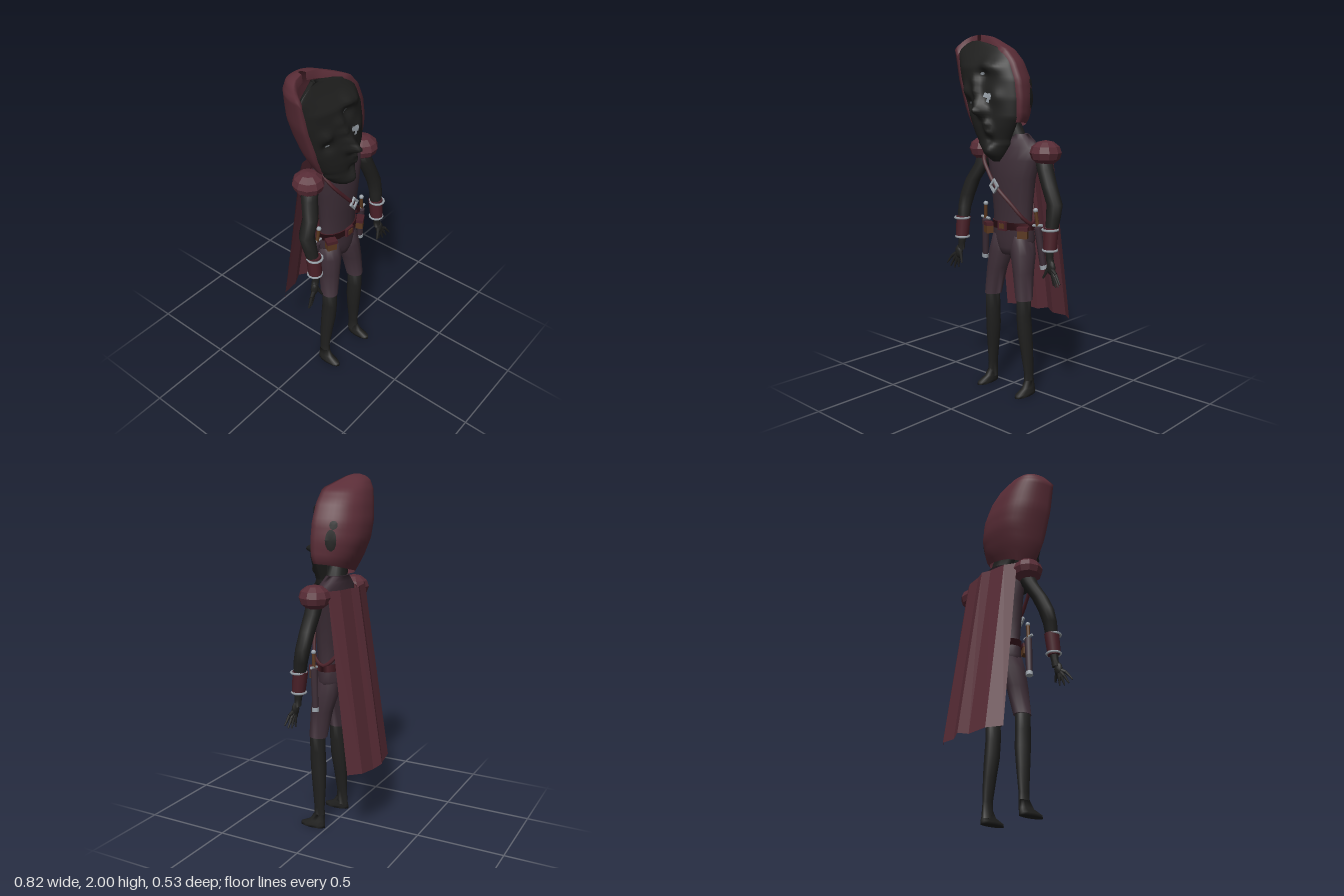
import * as THREE from 'three';

const mat = (name, color, flat = false) =>
  new THREE.MeshStandardMaterial({ name, color, side: THREE.DoubleSide, flatShading: flat });

// Piecewise-linear lookup in rows [key, v1, v2, ...] with ascending keys
function look(rows, k, c = 1) {
  if (k <= rows[0][0]) return rows[0][c];
  for (let i = 1; i < rows.length; i++) {
    const a = rows[i - 1], b = rows[i];
    if (k <= b[0]) return a[c] + (b[c] - a[c]) * (k - a[0]) / (b[0] - a[0]);
  }
  return rows[rows.length - 1][c];
}

// Skin over rows of points; wrap closes each row, cap closes both ends
function loft(rings, wrap = true, cap = true) {
  const n = rings[0].length, pos = rings.flat(2), idx = [];
  for (let i = 0; i < rings.length - 1; i++)
    for (let j = 0; j < (wrap ? n : n - 1); j++) {
      const a = i * n + j, b = i * n + (j + 1) % n;
      idx.push(a, a + n, b, b, a + n, b + n);
    }
  if (cap) for (const s of [0, (rings.length - 1) * n])
    for (let j = 1; j < n - 1; j++) idx.push(s, s + j, s + j + 1);
  const g = new THREE.BufferGeometry();
  g.setAttribute('position', new THREE.Float32BufferAttribute(pos, 3));
  g.setIndex(idx);
  g.computeVertexNormals();
  return g;
}

// Upright limb from level ellipses [y, centreX, centreZ, radiusX, radiusZ]
const limb = (rows, n = 12) => loft(rows.map(([y, cx, cz, rx, rz]) =>
  Array.from({ length: n }, (_, j) => {
    const a = j / n * Math.PI * 2;
    return [cx + rx * Math.cos(a), y, cz + rz * Math.sin(a)];
  })));

// Head outline: y, right edge, left edge, back depth
const OUT = [[1.31, -0.05, 0.0, 0.09], [1.34, -0.1, 0.02, 0.08], [1.38, -0.14, 0.04, 0.06], [1.45, -0.2, 0.08, -0.03],
  [1.55, -0.255, 0.14, -0.085], [1.65, -0.29, 0.145, -0.12], [1.75, -0.325, 0.13, -0.125], [1.85, -0.345, 0.085, -0.11],
  [1.92, -0.36, 0.02, -0.09], [1.97, -0.33, -0.1, -0.06], [1.99, -0.3, -0.15, -0.03], [2.0, -0.25, -0.22, 0]];
const RIM = [[1.44, 0.09], [1.6, 0.105], [1.93, 0.1], [2.0, 0.03]];
const FRONT = [[1.31, 0.13], [1.35, 0.165], [1.42, 0.165], [1.5, 0.175], [1.6, 0.175], [1.72, 0.17], [1.82, 0.165], [1.9, 0.12], [1.96, 0.09]];
// Face relief: x, y, height, radius
const RELIEF = [[-0.07, 1.585, 0.085, 0.03], [-0.09, 1.635, 0.045, 0.028], [-0.115, 1.69, 0.03, 0.028], [-0.135, 1.745, 0.02, 0.03],
  [-0.06, 1.83, 0.022, 0.035], [0.0, 1.815, 0.018, 0.035], [-0.22, 1.69, 0.022, 0.035], [-0.075, 1.775, -0.025, 0.035],
  [-0.2, 1.62, -0.022, 0.03], [-0.035, 1.515, 0.026, 0.025], [-0.02, 1.475, 0.024, 0.025], [-0.025, 1.495, -0.02, 0.012],
  [-0.025, 1.375, 0.024, 0.035], [0.02, 1.66, 0.012, 0.04], [-0.03, 1.43, -0.015, 0.025]];

function faceSpan(y) {
  const l = look(OUT, y, 1), r = look(OUT, y, 2), k = y < 1.42 ? 1 : 0.91;
  const top = y > 1.88 ? Math.sqrt(Math.max(0, 1 - ((y - 1.88) / 0.085) ** 2)) : 1;
  return [(l + r) / 2, (r - l) / 2 * k * top];
}
function faceZ(x, y) {
  const [c, w] = faceSpan(y), u = Math.min(1, Math.abs(x - c) / Math.max(w, 1e-4));
  const bulge = Math.pow(1 - u * u, 0.6);
  let z = 0.09 + (look(FRONT, y) - 0.09) * bulge;
  for (const [px, py, h, r] of RELIEF)
    z += h * Math.min(1, bulge * 1.5) * Math.exp(-((x - px) ** 2 + (y - py) ** 2) / (r * r));
  return z;
}
function hoodX(y, z) {
  const l = look(OUT, y, 1), r = look(OUT, y, 2), f = look(RIM, y), b = look(OUT, y, 3);
  const s = Math.min(1, Math.max(0, (f - z) / (f - b)));
  return (l + r) / 2 + (r - l) / 2 * Math.pow(1 - s * s, 0.4);
}

export function createModel() {
  const root = new THREE.Group();
  root.name = 'cloakedFigure';
  const body = new THREE.Group();
  body.name = 'body';
  body.position.x = 0.02;
  root.add(body);

  const skin = mat('shadow skin', 0x20201f), maroon = mat('maroon cloth', 0x5a2d37),
    maroonFlat = mat('maroon facets', 0x582c36, true), plum = mat('plum tunic', 0x3c2d36),
    leather = mat('dark red leather', 0x4a2028), silver = mat('silver', 0x9aa2aa), brown = mat('brown leather', 0x5a3820);

  const add = (name, geo, m, p = [0, 0, 0], parent = body) => {
    const o = new THREE.Mesh(geo, m);
    o.name = name;
    o.position.set(...p);
    parent.add(o);
    return o;
  };
  // Tapered bar between two points
  const rod = (name, a, b, ra, rb, m, n = 8) => {
    const A = new THREE.Vector3(...a), B = new THREE.Vector3(...b), d = B.clone().sub(A);
    const o = add(name, new THREE.CylinderGeometry(rb, ra, d.length(), n), m);
    o.position.copy(A).add(B).multiplyScalar(0.5);
    o.quaternion.setFromUnitVectors(new THREE.Vector3(0, 1, 0), d.normalize());
    return o;
  };

  // Face: sculpted front closed by a shallow back
  const faceRows = [];
  for (let i = 0; i <= 46; i++) {
    const y = 1.31 + 0.654 * i / 46, [c, w] = faceSpan(y), row = [];
    for (let j = 0; j <= 32; j++) {
      const x = c - w * Math.cos(j / 32 * Math.PI);
      row.push([x, y, faceZ(x, y)]);
    }
    for (let j = 1; j < 8; j++) {
      const a = j / 8 * Math.PI;
      row.push([c + w * Math.cos(a), y, 0.09 - 0.04 * Math.sin(a)]);
    }
    faceRows.push(row);
  }
  add('face', loft(faceRows), skin, [0, 0, 0], root);

  // Hood: rounded shell with a turned-in rim
  const hoodRows = [];
  for (let i = 0; i <= 26; i++) {
    const t = Math.sin(i / 26 * Math.PI / 2), row = [];
    for (let j = -1; j <= 25; j++) {
      const a = Math.min(24, Math.max(0, j)) / 24 * Math.PI, inner = j < 0 || j > 24;
      const low = 1.48 + 0.045 * Math.cos(a), y = low + (2 - low) * t;
      const l = look(OUT, y, 1), r = look(OUT, y, 2), f = look(RIM, y), b = look(OUT, y, 3), k = Math.cos(a);
      const w = (r - l) / 2 * (inner ? 0.88 : 1);
      row.push([(l + r) / 2 + w * Math.sign(k) * Math.pow(Math.abs(k), 0.8),
        y - (inner ? 0.04 * t : 0), f - (f - b) * Math.sin(a) + (inner ? 0.003 : 0)]);
    }
    hoodRows.push(row);
  }
  add('hood', loft(hoodRows, false, false), maroon, [0, 0, 0], root);

  // Thin details laid on the face and hood
  const onFace = (name, geo, x, y, turn) => {
    geo.rotateZ(turn).translate(x, y, 0);
    const p = geo.attributes.position;
    for (let i = 0; i < p.count; i++) p.setZ(i, faceZ(p.getX(i), p.getY(i)) + 0.005);
    geo.computeVertexNormals();
    add(name, geo, silver, [0, 0, 0], root);
  };
  onFace('leftEye', new THREE.CircleGeometry(0.014, 10).scale(1, 0.55, 1), -0.085, 1.785, 0.3);
  onFace('rightEye', new THREE.CircleGeometry(0.012, 10).scale(1, 0.5, 1), -0.197, 1.627, 0.3);
  onFace('cheekMark', new THREE.PlaneGeometry(0.055, 0.025, 6, 3), -0.028, 1.665, -0.3);
  onFace('cheekMarkBar', new THREE.PlaneGeometry(0.02, 0.05, 3, 6), -0.02, 1.655, -0.3);
  for (const [y0, z0, rz, ry] of [[1.655, -0.008, 0.028, 0.058], [1.735, -0.018, 0.02, 0.024]]) {
    const g = new THREE.CircleGeometry(1, 14), p = g.attributes.position;
    for (let i = 0; i < p.count; i++) {
      const z = z0 + p.getX(i) * rz, y = y0 + p.getY(i) * ry;
      p.setXYZ(i, hoodX(y, z) + 0.006, y, z);
    }
    g.computeVertexNormals();
    add('hoodSideOpening', g, skin, [0, 0, 0], root);
  }

  // Neck and tunic
  add('neck', limb([[1.4, 0, 0.01, 0.1, 0.055], [1.46, -0.01, 0.015, 0.075, 0.055], [1.6, -0.07, 0.03, 0.075, 0.055]]), skin);
  add('tunic', limb([[0.79, 0, 0.035, 0.05, 0.06], [0.83, 0, 0.025, 0.13, 0.078], [0.88, 0, 0.02, 0.142, 0.086], [0.94, 0, 0.025, 0.137, 0.08],
    [1.0, 0, 0.03, 0.128, 0.075], [1.1, 0, 0.03, 0.138, 0.08], [1.22, 0, 0.03, 0.152, 0.088], [1.32, 0, 0.025, 0.18, 0.085],
    [1.39, 0, 0.02, 0.19, 0.07], [1.43, 0, 0.01, 0.13, 0.062], [1.46, 0, 0.005, 0.085, 0.055]], 18), plum);
  add('belt', limb([[0.935, 0, 0.025, 0.144, 0.087], [0.975, 0, 0.027, 0.14, 0.084]], 18), leather);
  add('beltBuckle', new THREE.BoxGeometry(0.06, 0.052, 0.015), leather, [0, 0.955, 0.114]);
  add('beltBuckleInset', new THREE.BoxGeometry(0.034, 0.028, 0.008), brown, [0, 0.955, 0.122]);

  // Sash across the chest with a diamond clasp
  const sash = new THREE.CatmullRomCurve3([[-0.155, 1.39, 0.04], [-0.14, 1.33, 0.115], [-0.08, 1.25, 0.14], [-0.02, 1.18, 0.148],
    [0.07, 1.08, 0.118], [0.125, 1.0, 0.075], [0.135, 0.97, 0.02], [0.08, 1.05, -0.05], [-0.06, 1.25, -0.068], [-0.14, 1.38, -0.03]]
    .map(p => new THREE.Vector3(...p)), true);
  add('sash', new THREE.TubeGeometry(sash, 50, 0.011, 5, true), leather);
  const clasp = new THREE.Shape([[0, -0.042], [0.034, 0], [0, 0.042], [-0.034, 0]].map(p => new THREE.Vector2(...p)));
  clasp.holes.push(new THREE.Path([[0, -0.024], [-0.019, 0], [0, 0.024], [0.019, 0]].map(p => new THREE.Vector2(...p))));
  add('clasp', new THREE.ExtrudeGeometry(clasp, { depth: 0.012, bevelEnabled: false }), silver, [-0.02, 1.18, 0.153]);

  // Cape: folded panels sloping away from the back
  const half = [[0, -0.125, -0.28, 0.4], [0.06, -0.105, -0.255, 0.385], [0.17, -0.09, -0.24, 0.395], [0.242, -0.05, -0.183, 0.4]];
  const folds = [...half.slice(1).reverse().map(([x, ...r]) => [-x, ...r]), ...half];
  add('cape', loft([folds.map(([x, z]) => [x * 0.89, 1.4, z]), folds.map(([x, , z, y]) => [x, y, z])], false, false), maroonFlat);

  for (const s of [1, -1]) {
    const side = s > 0 ? 'left' : 'right', S = p => [p[0] * s, p[1], p[2]];
    const sided = rows => limb(rows.map(([y, cx, ...r]) => [y, cx * s, ...r]));
    // Legs
    add(side + 'Shorts', sided([[0.9, 0.07, 0.025, 0.06, 0.07], [0.8, 0.083, 0.035, 0.07, 0.076], [0.7, 0.1, 0.052, 0.057, 0.065],
      [0.545, 0.119, 0.067, 0.046, 0.053]]), plum);
    add(side + 'Leg', sided([[0.57, 0.12, 0.07, 0.04, 0.045], [0.46, 0.119, 0.07, 0.038, 0.046], [0.36, 0.122, 0.064, 0.04, 0.046],
      [0.25, 0.131, 0.056, 0.033, 0.04], [0.12, 0.14, 0.05, 0.021, 0.032], [0.03, 0.142, 0.05, 0.022, 0.036]]), skin);
    add(side + 'Foot', sided([[0, 0.148, 0.09, 0.031, 0.08], [0.016, 0.148, 0.088, 0.031, 0.078], [0.04, 0.145, 0.062, 0.024, 0.048],
      [0.08, 0.142, 0.05, 0.02, 0.034]]), skin);

    // Arms reach slightly further forward on the right
    const e = s > 0 ? 0.04 : 0.07, w = s > 0 ? 0.075 : 0.125;
    add(side + 'Arm', sided([[1.37, 0.21, 0.02, 0.05, 0.045], [1.28, 0.236, 0.03, 0.047, 0.045], [1.19, 0.275, e, 0.046, 0.042],
      [1.1, 0.315, e + 0.005, 0.046, 0.04], [1.03, 0.318, (e + w) / 2, 0.04, 0.038], [0.9, 0.308, w, 0.03, 0.03],
      [0.82, 0.312, w + 0.005, 0.02, 0.02], [0.78, 0.32, w + 0.005, 0.024, 0.018]]), skin);
    const puff = new THREE.SphereGeometry(1, 10, 6).scale(0.086, 0.068, 0.088);
    add(side + 'ShoulderPad', puff, maroonFlat, [0.23 * s, 1.367, 0.02]);
    rod(side + 'Bracer', S([0.312, 0.85, w + 0.003]), S([0.31, 0.975, w - 0.01]), 0.037, 0.042, leather, 10);
    for (const [y, r] of [[0.857, 0.038], [0.968, 0.042]])
      add(side + 'BracerRing', new THREE.TorusGeometry(r, 0.007, 5, 12).rotateX(Math.PI / 2), silver, [0.311 * s, y, w]);
    // Hand
    add(side + 'Palm', new THREE.SphereGeometry(1, 8, 6).scale(0.027, 0.04, 0.018), skin, [0.33 * s, 0.765, w + 0.012]);
    for (const [x, y, z] of [[0.408, 0.69, 0.022], [0.39, 0.672, 0.012], [0.366, 0.664, 0.004], [0.342, 0.668, -0.006]]) {
      const k = [0.33 + (x - 0.33) * 0.55, y + 0.048, w + 0.012 + z * 0.6], tip = [x, y, w + 0.012 + z];
      rod(side + 'Knuckle', S([0.33, 0.765, w + 0.012]), S(k), 0.013, 0.009, skin, 6);
      rod(side + 'Finger', S(k), S(tip), 0.009, 0.004, skin, 6);
    }
    rod(side + 'Thumb', S([0.318, 0.77, w + 0.015]), S([0.288, 0.705, w + 0.03]), 0.012, 0.005, skin, 6);

    // Belt gear: pouch and sheathed dagger
    add(side + 'Pouch', new THREE.BoxGeometry(0.055, 0.055, 0.04), brown, [0.13 * s, 0.925, 0.09]).rotation.y = 0.5 * s;
    add(side + 'PouchFlap', new THREE.BoxGeometry(0.06, 0.02, 0.046), leather, [0.13 * s, 0.95, 0.09]).rotation.y = 0.5 * s;
    rod(side + 'Scabbard', S([0.222, 0.74, 0.025]), S([0.199, 0.96, 0.045]), 0.017, 0.021, plum);
    rod(side + 'ScabbardTip', S([0.224, 0.73, 0.024]), S([0.221, 0.752, 0.026]), 0.02, 0.02, silver);
    rod(side + 'Guard', S([0.165, 0.968, 0.046]), S([0.23, 0.976, 0.046]), 0.008, 0.008, silver, 6);
    rod(side + 'Grip', S([0.198, 0.97, 0.046]), S([0.19, 1.05, 0.053]), 0.01, 0.01, brown);
    add(side + 'Pommel', new THREE.SphereGeometry(0.014, 8, 6), silver, S([0.189, 1.055, 0.053]));
  }
  return root;
}
